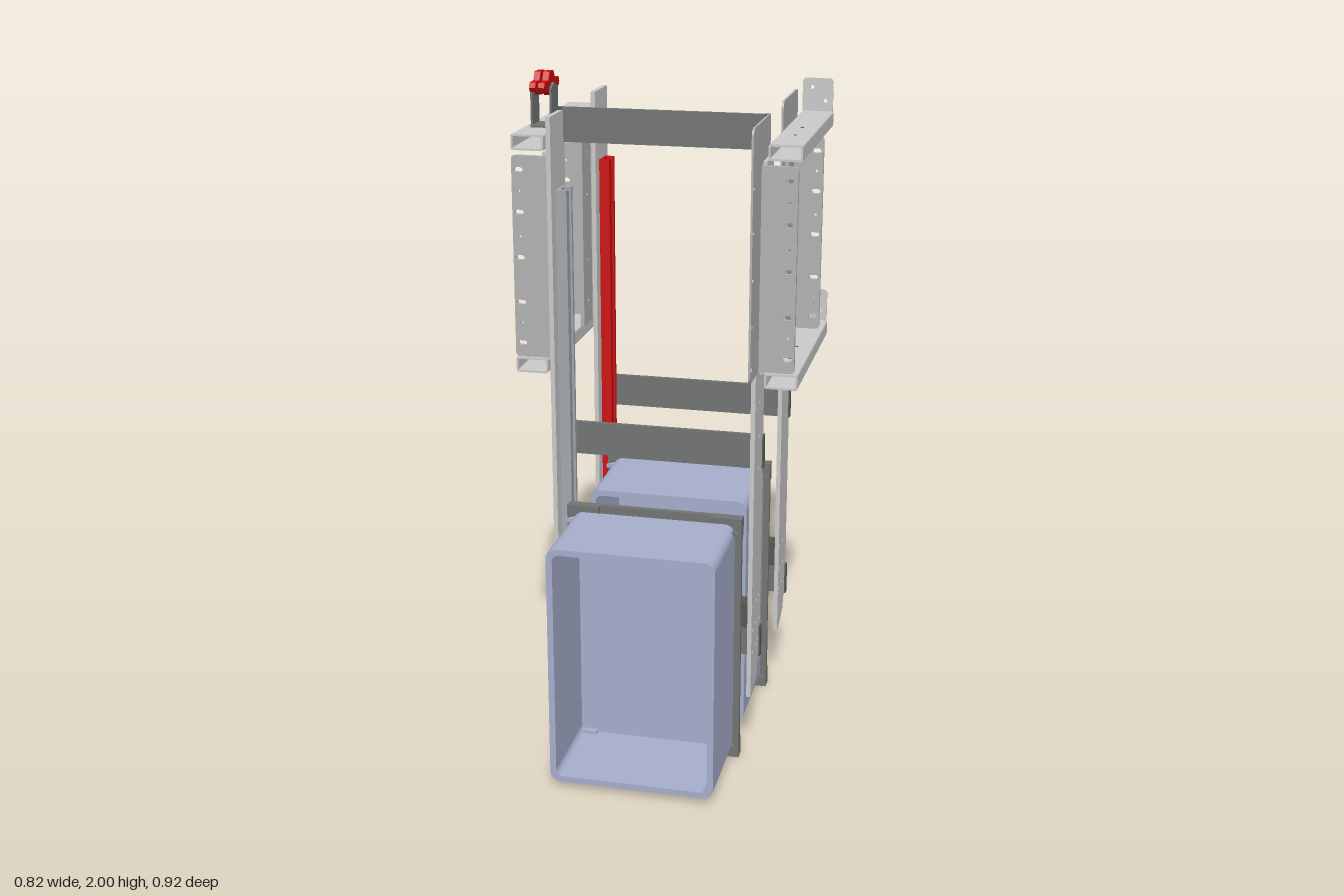
import * as THREE from 'three';

const mat = (name, color, side = THREE.FrontSide) => {
  const m = new THREE.MeshStandardMaterial({ color, side });
  m.name = name;
  return m;
};

export function createModel() {
  const light = mat('light steel', 0xcacaca);
  const mid = mat('mid steel', 0xb2b2b2);
  const dark = mat('dark steel', 0x717572);
  const deep = mat('dark fittings', 0x555956);
  const blue = mat('bin plastic', 0xa7aecb);
  const red = mat('red', 0xcc0e0e);
  const rail = mat('rail grey', 0xa2a6ab);

  const add = (parent, name, geo, m) => {
    const mesh = new THREE.Mesh(geo, m);
    mesh.name = name;
    parent.add(mesh);
    return mesh;
  };
  // box given by its limits
  const box = (parent, name, m, x0, x1, y0, y1, z0, z1) => {
    const g = new THREE.BoxGeometry(x1 - x0, y1 - y0, z1 - z0);
    g.translate((x0 + x1) / 2, (y0 + y1) / 2, (z0 + z1) / 2);
    return add(parent, name, g, m);
  };
  const poly = pts => new THREE.Shape(pts.map(p => new THREE.Vector2(p[0], p[1])));
  const roundRect = (x0, x1, y0, y1, r, P = THREE.Shape) => {
    const s = new P();
    s.moveTo(x0 + r, y0);
    s.lineTo(x1 - r, y0); s.absarc(x1 - r, y0 + r, r, -Math.PI / 2, 0);
    s.lineTo(x1, y1 - r); s.absarc(x1 - r, y1 - r, r, 0, Math.PI / 2);
    s.lineTo(x0 + r, y1); s.absarc(x0 + r, y1 - r, r, Math.PI / 2, Math.PI);
    s.lineTo(x0, y0 + r); s.absarc(x0 + r, y0 + r, r, Math.PI, Math.PI * 1.5);
    return s;
  };
  const hole = (s, x, y, w, h = w) =>
    s.holes.push(roundRect(x - w / 2, x + w / 2, y - h / 2, y + h / 2, Math.min(w, h) / 2.01, THREE.Path));
  const extrude = (s, depth) =>
    new THREE.ExtrudeGeometry(s, { depth, bevelEnabled: false, curveSegments: 5 });
  // profile in (z, y), thickness along x starting at x0
  const sheet = (parent, name, m, s, x0, t) =>
    add(parent, name, extrude(s, t).rotateY(-Math.PI / 2).translate(x0 + t, 0, 0), m);

  const buildUnit = (railMat) => {
    const u = new THREE.Group();

    // side posts with a tapered foot and bolt holes
    for (const [x0, top] of [[-0.3, 1.9], [0.284, 1.8]]) {
      const s = poly([[0.02, 0.27], [0.05, 0.27], [0.058, 0.235], [0.12, 0.207], [0.16, 0.2], [0.16, top], [0.02, top]]);
      for (const y of [0.34, 0.41, 0.485, 0.9, 1.0, 1.1]) {
        hole(s, 0.085, y, 0.01);
        if (y < 0.6) { hole(s, 0.14, y, 0.01); hole(s, 0.05, y, 0.01); }
      }
      sheet(u, 'sidePost', light, s, x0, 0.013);
    }
    // slotted wide plate on the left post
    const p = roundRect(0.02, 0.28, 1.21, 1.91, 0.02);
    for (const y of [1.25, 1.37, 1.5, 1.63, 1.75]) hole(p, 0.265, y, 0.02, 0.011);
    sheet(u, 'slottedPlate', mid, p, 0.2965, 0.006);

    // cross beams with end caps
    for (const y of [0.275, 0.88]) {
      box(u, 'crossBeam', dark, -0.3, 0.298, y, y + 0.1, 0.019, 0.031);
      for (const x of [-0.305, 0.288]) {
        box(u, 'beamEnd', deep, x, x + 0.014, y, y + 0.1, 0.015, 0.036);
        for (const dy of [0.025, 0.075])
          box(u, 'beamBolt', deep, x < 0 ? -0.28 : 0.262, x < 0 ? -0.265 : 0.277, y + dy - 0.007, y + dy + 0.007, 0.015, 0.019);
      }
    }

    // slide rail: channel with lips
    const r = poly([[-0.286, 0.05], [-0.256, 0.055], [-0.256, 0.068], [-0.276, 0.068], [-0.276, 0.105],
      [-0.256, 0.105], [-0.256, 0.118], [-0.286, 0.123]].map(q => [q[0], -q[1]]));
    add(u, 'slideRail', extrude(r, 1.41).rotateX(-Math.PI / 2).translate(0, 0.28, 0), railMat);
    box(u, 'slideInsert', railMat, -0.277, -0.262, 0.3, 1.68, 0.07, 0.103);
    box(u, 'slideCarriage', railMat, -0.264, -0.237, 0.3, 0.6, 0.055, 0.118);

    // gusset brackets tying the bin frame to the slides
    for (const x of [-0.237, 0.231])
      sheet(u, 'gussetBracket', light, poly([[0.06, 0.32], [0.14, 0.25], [0.14, 0.62], [0.06, 0.55]]), x, 0.015);
    // guide block on the left side
    box(u, 'guideBlock', deep, 0.246, 0.263, 0.4, 0.48, 0.062, 0.106);
    for (const z of [0.06, 0.093]) box(u, 'guideJaw', deep, 0.263, 0.281, 0.4, 0.48, z, z + 0.015);

    // bin frame
    box(u, 'frameBottomBar', dark, -0.255, 0.265, 0, 0.06, 0.137, 0.154);
    box(u, 'frameTopBar', dark, -0.255, 0.265, 0.71, 0.768, 0.137, 0.154);
    for (const x of [-0.255, 0.237]) {
      box(u, 'frameSide', dark, x, x + 0.028, 0.03, 0.74, 0.152, 0.168);
      for (const y of [0.1, 0.24, 0.38, 0.52, 0.65])
        box(u, 'frameClip', deep, x + 0.006, x + 0.022, y - 0.012, y + 0.012, 0.147, 0.152);
    }
    for (const x of [-0.255, 0.17]) for (const y of [0, 0.7]) {
      box(u, 'frameCorner', dark, x, x + 0.095, y, y + 0.068, 0.154, 0.171);
      const xs = x < 0 ? x : x + 0.05;
      box(u, 'frameCornerLeg', dark, xs, xs + 0.045, y ? 0.62 : 0, y ? 0.768 : 0.14, 0.15, 0.169);
      box(u, 'frameBolt', deep, xs + 0.015, xs + 0.031, y + 0.022, y + 0.038, 0.131, 0.137);
    }

    // open bin with rounded corners
    const b = roundRect(-0.236, 0.246, 0.02, 0.75, 0.03);
    b.holes.push(roundRect(-0.218, 0.228, 0.038, 0.732, 0.02, THREE.Path));
    add(u, 'binWalls', extrude(b, 0.28).translate(0, 0, 0.179), blue);
    add(u, 'binBack', extrude(roundRect(-0.236, 0.246, 0.02, 0.75, 0.03), 0.009).translate(0, 0, 0.17), blue);
    // sloped bin lugs
    for (const y of [0.035, 0.725]) {
      const lug = poly([[-0.168, -0.172], [-0.225, -0.172], [-0.253, -0.198], [-0.168, -0.198]]);
      add(u, 'binLug', extrude(lug, 0.012).rotateX(-Math.PI / 2).translate(0, y, 0), blue);
      const lugR = poly([[0.24, -0.172], [0.246, -0.172], [0.264, -0.198], [0.24, -0.198]]);
      add(u, 'binLug', extrude(lugR, 0.012).rotateX(-Math.PI / 2).translate(0, y, 0), dark);
    }
    return u;
  };

  const model = new THREE.Group();
  model.name = 'doubleBinRack';

  // two identical lift units, one behind the other
  const front = buildUnit(rail);
  front.name = 'frontUnit';
  const rear = buildUnit(red);
  rear.name = 'rearUnit';
  rear.position.z = -0.471;
  model.add(front, rear);

  // upper tie beam
  box(model, 'topBeam', dark, -0.3, 0.298, 1.81, 1.908, 0.019, 0.031);
  for (const x of [-0.305, 0.286]) box(model, 'topBeamEnd', deep, x, x + 0.014, 1.81, 1.908, 0.015, 0.034);

  // outer side frames
  for (const sx of [-1, 1]) {
    const f = new THREE.Group();
    f.name = sx > 0 ? 'leftSideFrame' : 'rightSideFrame';
    model.add(f);
    const span = (a, c) => (sx > 0 ? [a, c] : [-c, -a]);
    const [a, c] = span(0.316, 0.41);

    // hollow horizontal tubes
    for (const y of [1.155, 1.8]) {
      const t = roundRect(a, c, y, y + 0.045, 0.006);
      t.holes.push(roundRect(a + 0.006, c - 0.006, y + 0.006, y + 0.039, 0.003, THREE.Path));
      add(f, 'horizontalTube', extrude(t, 0.585).translate(0, 0, -0.452), light);
      for (const z of [-0.15, -0.026])
        add(f, 'tubeHole', new THREE.CylinderGeometry(0.005, 0.005, 0.002, 10).translate(sx * 0.363, y + 0.045, z), deep);
    }

    // slotted angle uprights
    for (const z of [0.142, -0.329]) {
      const [w0, w1] = span(0.298, 0.403);
      const web = roundRect(w0, w1, 1.21, 1.79, 0.01);
      for (const y of [1.25, 1.37, 1.5, 1.63, 1.75]) hole(web, sx * 0.383, y, 0.026, 0.014);
      for (const y of [1.31, 1.56, 1.69]) hole(web, sx * 0.383, y, 0.009);
      add(f, 'uprightWeb', extrude(web, 0.013).translate(0, 0, z), mid);
      const flange = poly([[z - 0.1, 1.2], [z, 1.2], [z, 1.8], [z - 0.1, 1.8]]);
      const flangeIn = z > 0 ? flange : poly([[z + 0.013, 1.2], [z + 0.108, 1.2], [z + 0.108, 1.8], [z + 0.013, 1.8]]);
      const zc = z > 0 ? z - 0.05 : z + 0.06;
      for (const y of [1.27, 1.4, 1.6, 1.73]) hole(flangeIn, zc, y, 0.011);
      sheet(f, 'uprightFlange', z > 0 ? light : mid, flangeIn, span(0.304, 0.316)[0], 0.012);
    }

    // mounting tabs at the back
    for (const y of sx > 0 ? [1.155, 1.8] : [1.155]) {
      const tab = roundRect(a, c - sx * 0.003, y, y + 0.142, 0.012);
      for (const k of [0.345, 0.385]) hole(tab, sx * k, y + 0.115 - (k - 0.345), 0.012);
      add(f, 'mountingTab', extrude(tab, 0.006).translate(0, 0, -0.458), light);
    }
  }

  // hand clamp on the right frame
  const clamp = new THREE.Group();
  clamp.name = 'handClamp';
  model.add(clamp);
  box(clamp, 'clampBase', dark, -0.386, -0.324, 1.845, 1.852, -0.054, 0.018);
  for (const x of [-0.386, -0.33])
    sheet(clamp, 'clampCheek', dark, poly([[-0.05, 1.85], [0.016, 1.85], [0.016, 1.955], [-0.012, 1.97], [-0.05, 1.955]]), x, 0.006);
  clamp.add(add(clamp, 'clampPin', new THREE.CylinderGeometry(0.007, 0.007, 0.06, 12).rotateZ(Math.PI / 2).translate(-0.355, 1.962, -0.018), deep));
  for (const x of [-0.376, -0.35]) {
    const lever = poly([[-0.093, 1.962], [-0.085, 1.95], [-0.05, 1.953], [-0.035, 1.935], [0, 1.935], [0.018, 1.953],
      [0.05, 1.95], [0.058, 1.962], [0.052, 1.976], [0.015, 1.977], [0.002, 2], [-0.037, 2], [-0.05, 1.977], [-0.086, 1.976]]);
    sheet(clamp, 'clampLever', red, lever, x, 0.018);
  }
  return model;
}
